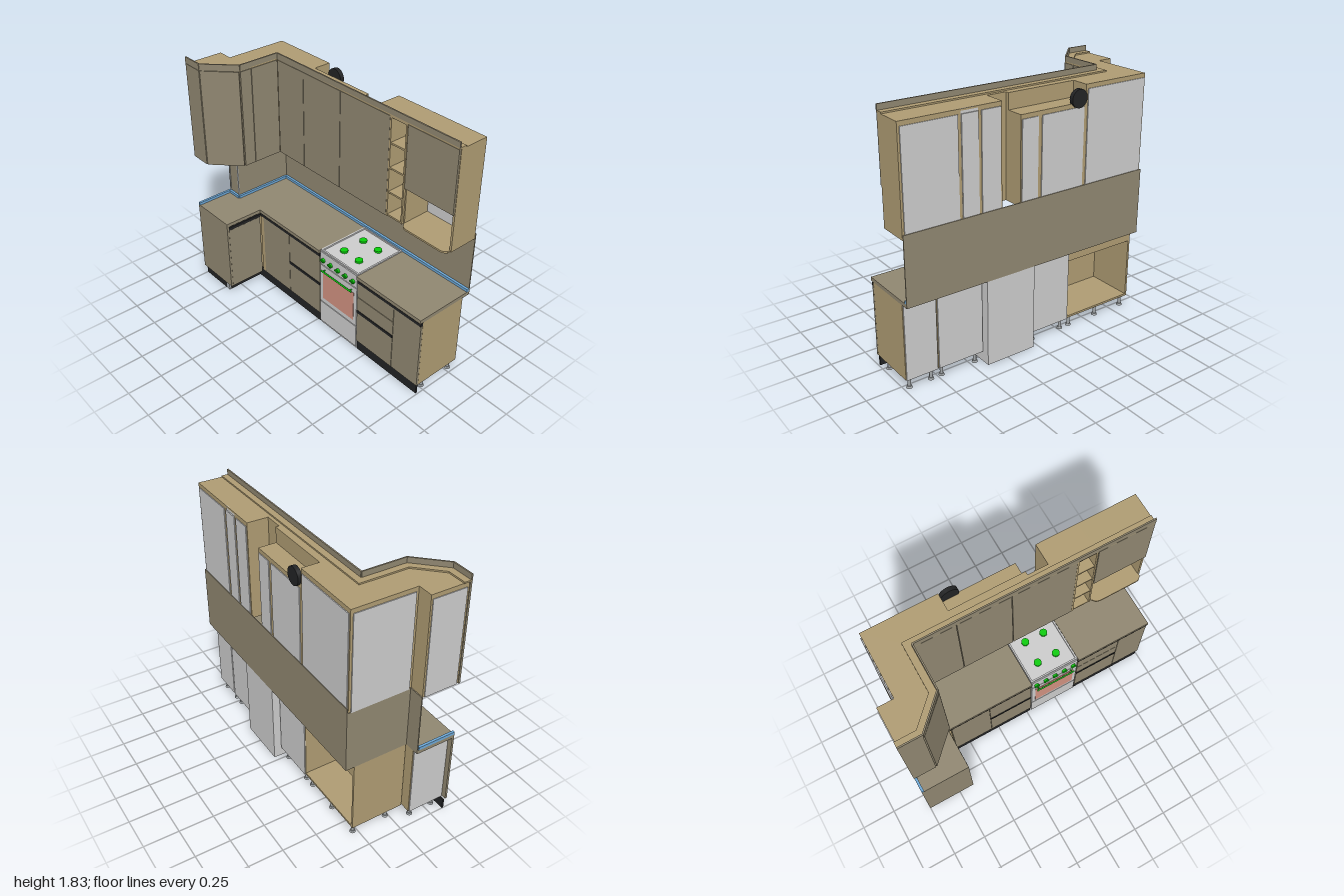
import * as THREE from 'three';

const mat = (name, color, side = THREE.FrontSide) => {
  const m = new THREE.MeshStandardMaterial({ color, side });
  m.name = name;
  return m;
};

export function createModel() {
  const root = new THREE.Group();
  root.name = 'kitchen';
  const taupe = mat('taupe front', 0x8f8670), wood = mat('wood carcass', 0xae9b72);
  const white = mat('light grey enamel', 0xcbcbcb), black = mat('black', 0x222324);
  const blue = mat('blue trim', 0x6ca6d4), green = mat('green fittings', 0x08cc08);
  const pink = mat('oven glass', 0xcf9080), steel = mat('grey metal', 0xa0a4a6);

  const add = (name, geo, m) => {
    const mesh = new THREE.Mesh(geo, m);
    mesh.name = name;
    root.add(mesh);
    return mesh;
  };
  // Box given by its limits on each axis
  const box = (name, m, x0, x1, y0, y1, z0, z1) => {
    const b = add(name, new THREE.BoxGeometry(x1 - x0, y1 - y0, z1 - z0), m);
    b.position.set((x0 + x1) / 2, (y0 + y1) / 2, (z0 + z1) / 2);
    return b;
  };
  // Plan outline of [x, z] points raised from y0 to y1
  const prism = (name, m, pts, y0, y1) => {
    const s = new THREE.Shape(pts.map(([x, z]) => new THREE.Vector2(x, -z)));
    const g = new THREE.ExtrudeGeometry(s, { depth: y1 - y0, bevelEnabled: false });
    g.rotateX(-Math.PI / 2);
    return add(name, g, m).position.setY(y0);
  };
  // Upright board between two plan points, thickness t
  const board = (name, m, [xa, za], [xb, zb], y0, y1, t) => {
    const l = Math.hypot(xb - xa, zb - za);
    const b = add(name, new THREE.BoxGeometry(l, y1 - y0, t), m);
    b.position.set((xa + xb) / 2, (y0 + y1) / 2, (za + zb) / 2);
    b.rotation.y = -Math.atan2(zb - za, xb - xa);
  };
  const rod = (name, m, r, h, x, y, z, axis = 'y', r2 = r, n = 20) => {
    const c = add(name, new THREE.CylinderGeometry(r2, r, h, n), m);
    if (axis === 'z') c.rotation.x = Math.PI / 2;
    if (axis === 'x') c.rotation.z = Math.PI / 2;
    c.position.set(x, y, z);
  };

  // ---- Base cabinets ----
  const B0 = 0.08, B1 = 0.62;
  for (const [x0, x1] of [[0.415, 0.758], [0.762, 0.998], [-0.31, 0.028]]) {
    box('baseCarcass', wood, x0, x1, B0, B1, -0.31, 0.053);
    box('baseBack', white, x0 + 0.004, x1 - 0.004, B0, B1, -0.318, -0.311);
  }
  // open-backed corner cabinet
  box('cornerFloor', wood, -0.89, -0.31, B0, 0.095, -0.31, 0.053);
  box('cornerSide', wood, -0.89, -0.875, B0, B1, -0.31, 0.08);
  box('cornerRail', wood, -0.875, -0.31, 0.53, B1, -0.31, -0.295);
  box('cornerInnerFront', wood, -0.875, -0.31, B0, B1, 0.038, 0.053);
  box('cornerPost', wood, -0.655, -0.62, B0, 0.59, 0.053, 0.066);
  // wing cabinet
  box('wingCarcass', wood, -0.96, -0.657, B0, B1, 0.085, 0.364);
  box('wingBack', white, -0.968, -0.961, B0, B1, 0.09, 0.36);
  box('wingFrontPanel', taupe, -1, -0.64, B0, B1, 0.365, 0.38);
  box('wingDoor', taupe, -0.655, -0.64, B0, 0.587, 0.085, 0.364);
  box('wingHandle', black, -0.657, -0.637, 0.59, 0.612, 0.08, 0.366);
  // doors and drawers
  for (const [x0, x1, y0, y1] of [
    [-0.615, -0.313, B0, 0.588], [-0.31, 0.028, B0, 0.335], [-0.31, 0.028, 0.357, 0.588],
    [0.417, 0.758, B0, 0.335], [0.417, 0.758, 0.357, 0.468], [0.417, 0.758, 0.473, 0.588],
    [0.762, 0.998, B0, 0.588],
  ]) box('baseFront', taupe, x0, x1, y0, y1, 0.054, 0.07);
  for (const [x0, x1, y] of [[-0.655, 0.028, 0.591], [0.417, 0.998, 0.591], [-0.31, 0.028, 0.335], [0.417, 0.758, 0.335]])
    box('handleStrip', black, x0, x1, y, y + 0.021, 0.054, 0.074);
  // plinths
  box('plinth', black, -0.705, 0.025, 0, 0.078, 0.048, 0.062);
  box('plinth', black, 0.42, 0.99, 0, 0.078, 0.048, 0.062);
  box('wingPlinth', black, -1, -0.738, 0, 0.078, 0.345, 0.358);
  box('wingSidePlinth', black, -0.715, -0.703, 0, 0.078, 0.062, 0.345);
  box('plinthCorner', steel, -0.738, -0.703, 0, 0.078, 0.345, 0.358);
  // legs
  const leg = (x, z) => {
    rod('leg', steel, 0.011, 0.07, x, 0.045, z, 'y', 0.011, 12);
    rod('legFoot', steel, 0.021, 0.014, x, 0.007, z, 'y', 0.016, 12);
    rod('legCap', steel, 0.016, 0.014, x, 0.073, z, 'y', 0.022, 12);
  };
  for (const x of [0.96, 0.8, 0.72, 0.46, -0.02, -0.27, -0.35, -0.6, -0.85])
    for (const z of [-0.02, -0.28]) leg(x, z);
  for (const x of [-0.92, -0.75]) for (const z of [0.13, 0.31]) leg(x, z);

  // ---- Worktop, wall panels and trim ----
  prism('worktop', taupe, [[-0.89, -0.365], [0.03, -0.365], [0.03, 0.08], [-0.64, 0.08], [-0.64, 0.38],
    [-1, 0.38], [-1, 0.09], [-0.89, 0.09]], B1, 0.647);
  box('worktopRight', taupe, 0.415, 1, B1, 0.647, -0.365, 0.08);
  box('wallPanelBack', taupe, -0.89, 1, B1, 1.1, -0.373, -0.366);
  box('wallPanelSide', taupe, -0.89, -0.883, B1, 1.07, -0.366, 0.09);
  box('wallPanelReturn', taupe, -1, -0.883, B1, 1.07, 0.084, 0.091);
  box('wallTrim', steel, -0.99, -0.982, 0.665, 1.06, 0.091, 0.095);
  box('wallTrim', steel, -0.89, -0.88, 0.665, 1.06, 0.088, 0.095);
  const trim = [[1, -0.357], [-0.875, -0.357], [-0.875, 0.099], [-0.991, 0.099], [-0.991, 0.38]];
  for (let i = 0; i < 4; i++) board('blueTrim', blue, trim[i], trim[i + 1], 0.646, 0.667, 0.018);

  // ---- Cooker ----
  box('cookerBody', white, 0.034, 0.412, 0, 0.642, -0.37, 0.062);
  box('cookerDrawer', white, 0.036, 0.41, 0.02, 0.2, 0.06, 0.07);
  box('ovenDoor', white, 0.036, 0.41, 0.207, 0.53, 0.06, 0.07);
  box('controlPanel', white, 0.036, 0.41, 0.537, 0.642, 0.06, 0.07);
  box('ovenWindow', pink, 0.065, 0.382, 0.245, 0.482, 0.066, 0.073);
  for (const [x0, x1, z0, z1] of [[0.034, 0.412, 0.05, 0.062], [0.034, 0.412, -0.365, -0.34],
    [0.034, 0.046, -0.34, 0.05], [0.4, 0.412, -0.34, 0.05]])
    box('hobRim', white, x0, x1, 0.642, 0.653, z0, z1);
  for (const x of [0.148, 0.298]) for (const z of [-0.05, -0.23]) rod('burner', green, 0.028, 0.014, x, 0.65, z);
  for (let i = 0; i < 5; i++) {
    const x = 0.07 + i * 0.076;
    rod('knob', green, 0.017, 0.014, x, 0.58, 0.077, 'z');
    box('knobGrip', green, x - 0.02, x + 0.02, 0.576, 0.584, 0.08, 0.09);
  }
  rod('ovenHandle', green, 0.006, 0.31, 0.223, 0.5, 0.092, 'x');
  for (const x of [0.085, 0.36]) rod('handlePost', green, 0.005, 0.024, x, 0.5, 0.08, 'z');

  // ---- Wall cabinets ----
  const U0 = 1.065, U1 = 1.78, F = -0.145, Z = -0.362;
  // left corner and angled end
  prism('cornerWallCabinet', wood, [[-0.885, Z], [-0.37, Z], [-0.37, F], [-0.66, F], [-0.66, 0.175],
    [-0.845, 0.36], [-0.995, 0.36], [-0.995, 0.092], [-0.885, 0.092]], U0, U1);
  // run beside the cooker, with low rear boxes and a slot for the duct
  box('middleCabinet', wood, -0.37, 0, U0, U1, -0.235, F);
  box('middleRearBox', wood, -0.37, 0, U0, 1.67, Z, -0.235);
  prism('hoodCabinet', wood, [[0, -0.235], [0.15, -0.235], [0.15, -0.21], [0.29, -0.21], [0.29, Z], [0.45, Z],
    [0.45, F], [0, F]], U0, U1);
  box('hoodRearBox', wood, 0, 0.15, U0, 1.67, Z, -0.235);
  rod('ventFan', black, 0.062, 0.03, -0.305, 1.7, -0.365, 'z', 0.062, 32);
  // light rear panels
  for (const [x0, x1, top] of [[-0.875, -0.385, 1.75], [-0.355, -0.015, 1.64], [0.015, 0.14, 1.64],
    [0.302, 0.44, 1.75], [0.462, 0.58, 1.75], [0.605, 0.985, 1.75]])
    box('wallCabinetBack', white, x0, x1, U0, top, Z - 0.006, Z + 0.004);
  box('sideBack', white, -0.891, -0.884, U0, 1.75, -0.345, 0.075);
  box('wingWallBack', white, -1, -0.993, U0, 1.75, 0.105, 0.348);

  // open shelf tower
  for (const x of [0.45, 0.583]) box('towerSide', wood, x, x + 0.012, U0, U1, Z, -0.13);
  for (const y of [U0, 1.238, 1.415, 1.59, 1.768]) box('towerShelf', wood, 0.462, 0.583, y, y + 0.012, Z, -0.133);
  box('towerBackInner', white, 0.462, 0.583, U0, U1, Z + 0.002, Z + 0.008);

  // right cabinet above an open niche
  box('rightUpperBox', wood, 0.6, 0.985, 1.335, U1, Z, F);
  box('nicheSide', wood, 0.985, 1, U0, U1, Z, F);
  box('nicheSide', wood, 0.595, 0.605, U0, U1, Z, F);
  box('nicheBack', white, 0.605, 0.985, U0, 1.335, Z + 0.002, Z + 0.008);
  prism('nicheShelf', wood, [[0.605, Z], [0.99, Z], [0.99, -0.125], [0.97, -0.105], [0.95, -0.1], [0.66, -0.1],
    [0.63, -0.108], [0.605, -0.135]], 1.062, 1.075);

  // wall doors
  for (const [x0, x1, y0] of [[-0.643, -0.372, 1.062], [-0.368, -0.002, 1.062], [0.002, 0.449, 1.062], [0.6, 0.998, 1.337]])
    box('wallDoor', taupe, x0, x1, y0, 1.778, -0.144, -0.13);
  for (const [z0, z1] of [[-0.13, 0.088], [0.092, 0.178]])
    box('sideWallDoor', taupe, -0.659, -0.645, 1.062, 1.778, z0, z1);
  board('angledDoor', taupe, [-0.653, 0.184], [-0.84, 0.368], 1.062, 1.778, 0.014);
  box('endWallDoor', taupe, -1, -0.843, 1.062, 1.778, 0.361, 0.375);

  // cornice: flat base strip and upright face
  prism('corniceBase', wood, [[1, -0.185], [1, -0.13], [-0.645, -0.13], [-0.645, 0.18], [-0.84, 0.375], [-1, 0.375],
    [-1, 0.32], [-0.86, 0.32], [-0.7, 0.16], [-0.7, -0.185]], 1.78, 1.79);
  const edge = [[1, -0.135], [-0.65, -0.135], [-0.65, 0.18], [-0.84, 0.371], [-1, 0.371]];
  for (let i = 0; i < 4; i++) board('corniceFace', taupe, edge[i], edge[i + 1], 1.781, 1.828, 0.01);

  return root;
}
